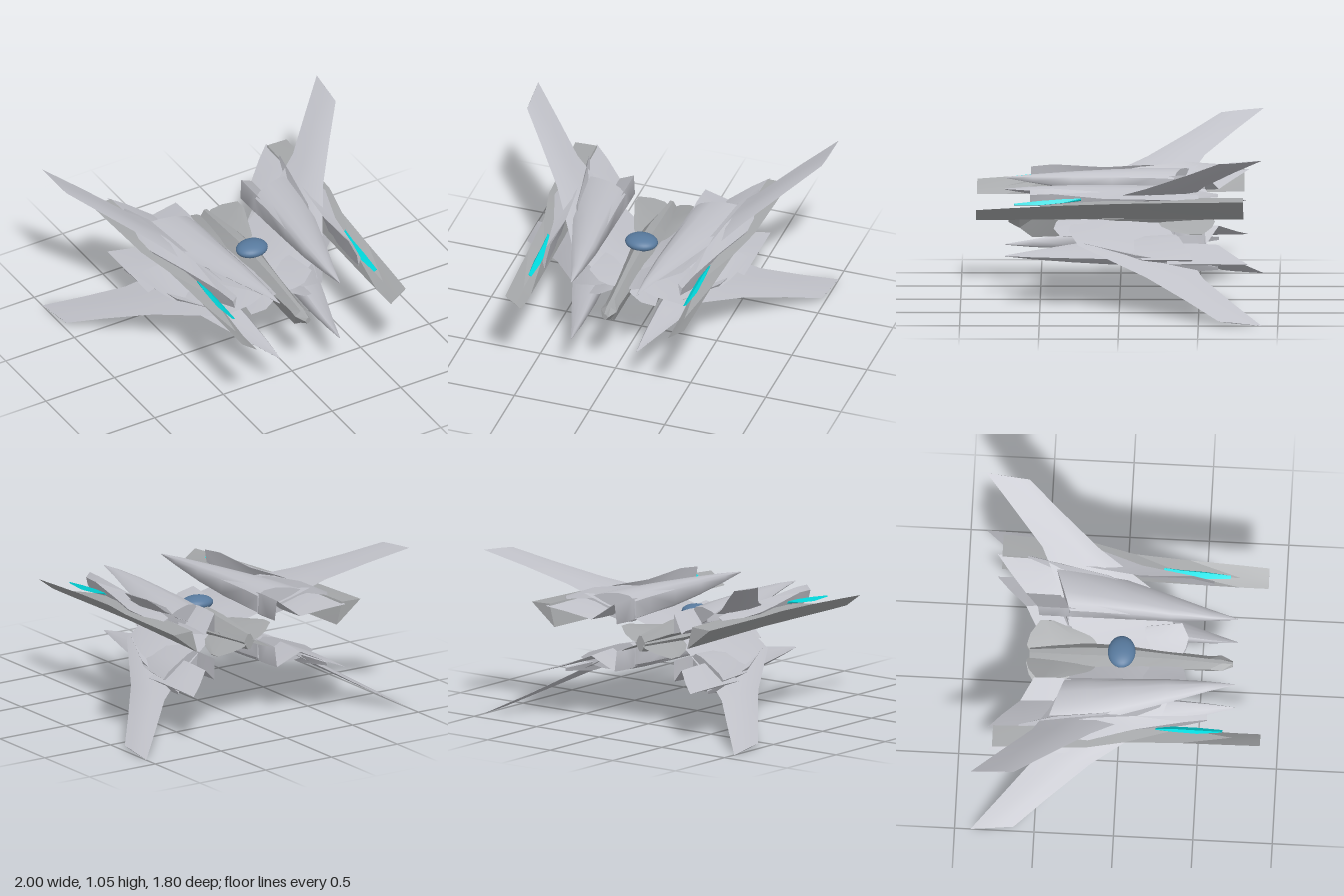
import * as THREE from 'three';
import { toCreasedNormals } from 'three/addons/utils/BufferGeometryUtils.js';

const mat = (name, color) => {
  const m = new THREE.MeshStandardMaterial({ color, side: THREE.DoubleSide });
  m.name = name;
  return m;
};

// Skin a row of equal-length rings of [x, y, z] points and cap both ends
function loft(rings, crease = 0.6) {
  const n = rings[0].length;
  const pos = [];
  const tri = (a, b, c) => pos.push(...a, ...b, ...c);
  for (let i = 0; i < rings.length - 1; i++) {
    for (let j = 0; j < n; j++) {
      const k = (j + 1) % n;
      const a = rings[i][j], b = rings[i][k], c = rings[i + 1][k], d = rings[i + 1][j];
      tri(a, b, c);
      tri(a, c, d);
    }
  }
  const first = rings[0], last = rings[rings.length - 1];
  for (let j = 1; j < n - 1; j++) {
    tri(first[0], first[j + 1], first[j]);
    tri(last[0], last[j], last[j + 1]);
  }
  const g = new THREE.BufferGeometry();
  g.setAttribute('position', new THREE.Float32BufferAttribute(pos, 3));
  return toCreasedNormals(g, crease);
}

// Lens-shaped section between a leading and a trailing point
function lens(lead, trail, t) {
  const at = (f, s) => lead.map((v, i) => v + (trail[i] - v) * f + [-0.5, 0.86, 0][i] * t * s);
  return [lead, at(0.3, -1), at(0.65, -0.7), trail, at(0.65, 0.7), at(0.3, 1)];
}

// Pod section: upright inner side, domed top, pointed outer edge, slanted rear
function podSection([zIn, zOut, xIn, xOut, top, bottom]) {
  const h = top - bottom;
  return [
    [0, 0.15], [0, 0.75], [0.12, 0.93], [0.32, 1], [0.6, 0.95], [0.85, 0.82],
    [1, 0.62], [0.85, 0.42], [0.6, 0.25], [0.3, 0.05], [0.1, 0],
  ].map(([f, v]) => [xIn + (xOut - xIn) * f, bottom + h * v, zIn + (zOut - zIn) * f]);
}

export function createModel() {
  const hull = mat('hull grey', 0xbfc0c7);
  const plain = mat('plate grey', 0xa5a7a9);
  const glow = mat('cyan', 0x00e0e4);
  const blue = mat('canopy blue', 0x587a9e);
  const model = new THREE.Group();
  const add = (parent, name, geo, m) => {
    const mesh = new THREE.Mesh(geo, m);
    mesh.name = name;
    parent.add(mesh);
    return mesh;
  };

  // Swept wing: leading point, trailing point, half thickness
  const wing = loft([
    [[0.05, 0.54, 0.3], [0.05, 0.54, -0.26], 0.02],
    [[0.2, 0.585, 0.32], [0.16, 0.59, -0.32], 0.022],
    [[0.36, 0.65, 0.26], [0.44, 0.72, -0.44], 0.022],
    [[0.62, 0.81, -0.17], [0.61, 0.82, -0.53], 0.016],
    [[0.82, 0.93, -0.43], [0.81, 0.945, -0.72], 0.01],
    [[0.98, 1.03, -0.63], [1, 1.055, -0.9], 0.003],
  ].map(s => lens(...s)));

  // Spindle pod, cut off where the rear cowl begins
  const pod = loft([
    [0.72, 0.72, 0.216, 0.222, 0.744, 0.738],
    [0.55, 0.55, 0.207, 0.275, 0.76, 0.708],
    [0.3, 0.3, 0.205, 0.36, 0.773, 0.665],
    [0.05, 0.05, 0.215, 0.44, 0.78, 0.63],
    [-0.2, -0.2, 0.222, 0.52, 0.782, 0.605],
    [-0.34, -0.46, 0.225, 0.57, 0.777, 0.595],
  ].map(podSection), 0.8);

  // Rear cowl: a valley-shaped sheet with a slanted rear edge
  const cowl = loft([
    [0.228, 0.615, -0.53, 0.004],
    [0.238, 0.745, -0.54, 0.008],
    [0.36, 0.645, -0.62, 0.012],
    [0.48, 0.7, -0.73, 0.012],
    [0.578, 0.735, -0.81, 0.006],
  ].map(([x, y, z, t]) => lens([x, y, -0.3], [x, y, z], t)), 0.7);

  // Scalloped plate at the wing root
  const scallop = loft([
    [[0.02, 0.53, 0.37], [0.02, 0.53, -0.2], 0.015],
    [[0.08, 0.55, 0.4], [0.08, 0.55, -0.22], 0.015],
    [[0.14, 0.58, 0.415], [0.13, 0.575, -0.2], 0.012],
    [[0.22, 0.62, 0.37], [0.18, 0.6, 0.05], 0.004],
  ].map(s => lens(...s)));

  // Flared tail plate, following the slope of the wings
  const tail = loft([
    [[0.02, 0.535, -0.1], [0.02, 0.535, -0.58], 0.012],
    [[0.05, 0.548, -0.12], [0.05, 0.548, -0.6], 0.012],
    [[0.12, 0.575, -0.2], [0.12, 0.575, -0.58], 0.01],
    [[0.2, 0.608, -0.44], [0.2, 0.608, -0.52], 0.003],
  ].map(s => lens(...s)), 0.3);

  // Narrow ridge lying along the wing
  const ridge = loft([
    [0.22, 0.34, 0.35, 0.655, 0.64],
    [-0.1, 0.43, 0.49, 0.765, 0.69],
    [-0.4, 0.48, 0.54, 0.795, 0.73],
    [-0.62, 0.56, 0.57, 0.77, 0.75],
  ].map(([z, a, b, t, o]) => [[a, o, z], [b, o, z], [(a + b) / 2, t, z]]), 0.3);

  // Lance: sloped outer sheet with a wedge rising behind its flat front
  const lance = loft([
    [[0.595, 0.67, 0.9], [0.487, 0.59, 0.9], [0.538, 0.632, 0.9]],
    [[0.602, 0.682, 0.72], [0.487, 0.59, 0.72], [0.535, 0.634, 0.72]],
    [[0.612, 0.7, 0.4], [0.49, 0.595, 0.4], [0.512, 0.69, 0.4]],
    [[0.63, 0.715, 0.05], [0.495, 0.6, 0.05], [0.515, 0.73, 0.05]],
    [[0.685, 0.73, -0.2], [0.505, 0.6, -0.2], [0.55, 0.742, -0.2]],
    [[0.71, 0.74, -0.78], [0.53, 0.6, -0.78], [0.57, 0.745, -0.78]],
  ], 0.2);

  // Curved blade on the inner side of the lance
  const blade = loft([
    [0.56, 0.437, 0.465, 0.775, 0.69],
    [0.42, 0.46, 0.49, 0.785, 0.65],
    [0.1, 0.47, 0.55, 0.765, 0.62],
    [-0.18, 0.5, 0.64, 0.775, 0.66],
    [-0.5, 0.56, 0.62, 0.76, 0.72],
  ].map(([z, a, b, t, o]) => [[a, t, z], [(a + b) / 2, o, z], [b, t - 0.03, z]]), 0.4);

  // Glowing crystal strip above the lance
  const strip = loft([
    [0.66, 0.505, 0.525, 0.7, 0.685],
    [0.5, 0.498, 0.542, 0.718, 0.685],
    [0.35, 0.503, 0.542, 0.73, 0.7],
    [0.24, 0.525, 0.54, 0.736, 0.718],
  ].map(([z, a, b, t, o]) => [[a, o, z], [b, o + 0.008, z], [(a + b) / 2 + 0.008, t, z]]), 0.3);

  for (const side of [1, -1]) {
    for (const up of [1, -1]) {
      const quarter = new THREE.Group();
      quarter.name = (up > 0 ? 'upper' : 'lower') + (side > 0 ? 'Left' : 'Right') + 'Wing';
      quarter.scale.set(side, up, 1);
      quarter.position.y = up > 0 ? 0 : 1.056;
      add(quarter, 'wing', wing, hull);
      add(quarter, 'pod', pod, hull);
      add(quarter, 'rearCowl', cowl, hull);
      add(quarter, 'rootPlate', scallop, hull);
      add(quarter, 'tailPlate', tail, plain);
      add(quarter, 'ridge', ridge, hull);
      model.add(quarter);
    }
    const arm = new THREE.Group();
    arm.name = side > 0 ? 'leftLance' : 'rightLance';
    arm.scale.x = side;
    add(arm, 'lance', lance, plain);
    add(arm, 'blade', blade, hull);
    add(arm, 'glowStrip', strip, glow);
    model.add(arm);
  }

  // Faceted diamond fuselage: z, half width, top, waist, bottom
  const body = loft([
    [0.7, 0.02, 0.535, 0.515, 0.495],
    [0.63, 0.052, 0.55, 0.52, 0.46],
    [0.55, 0.045, 0.56, 0.52, 0.4],
    [0.3, 0.06, 0.6, 0.53, 0.41],
    [0, 0.1, 0.635, 0.53, 0.42],
    [-0.25, 0.1, 0.62, 0.53, 0.44],
    [-0.58, 0.04, 0.58, 0.53, 0.48],
  ].map(([z, w, t, m, b]) => [
    [w * 0.25, t, z], [-w * 0.25, t, z], [-w, m, z],
    [-w * 0.25, b, z], [w * 0.25, b, z], [w, m, z],
  ]), 0.2);
  add(model, 'fuselage', body, plain);

  // Oval canopy
  const canopy = add(model, 'canopy', new THREE.SphereGeometry(1, 32, 20), blue);
  canopy.scale.set(0.105, 0.045, 0.087);
  canopy.position.set(0, 0.642, 0);

  return model;
}
